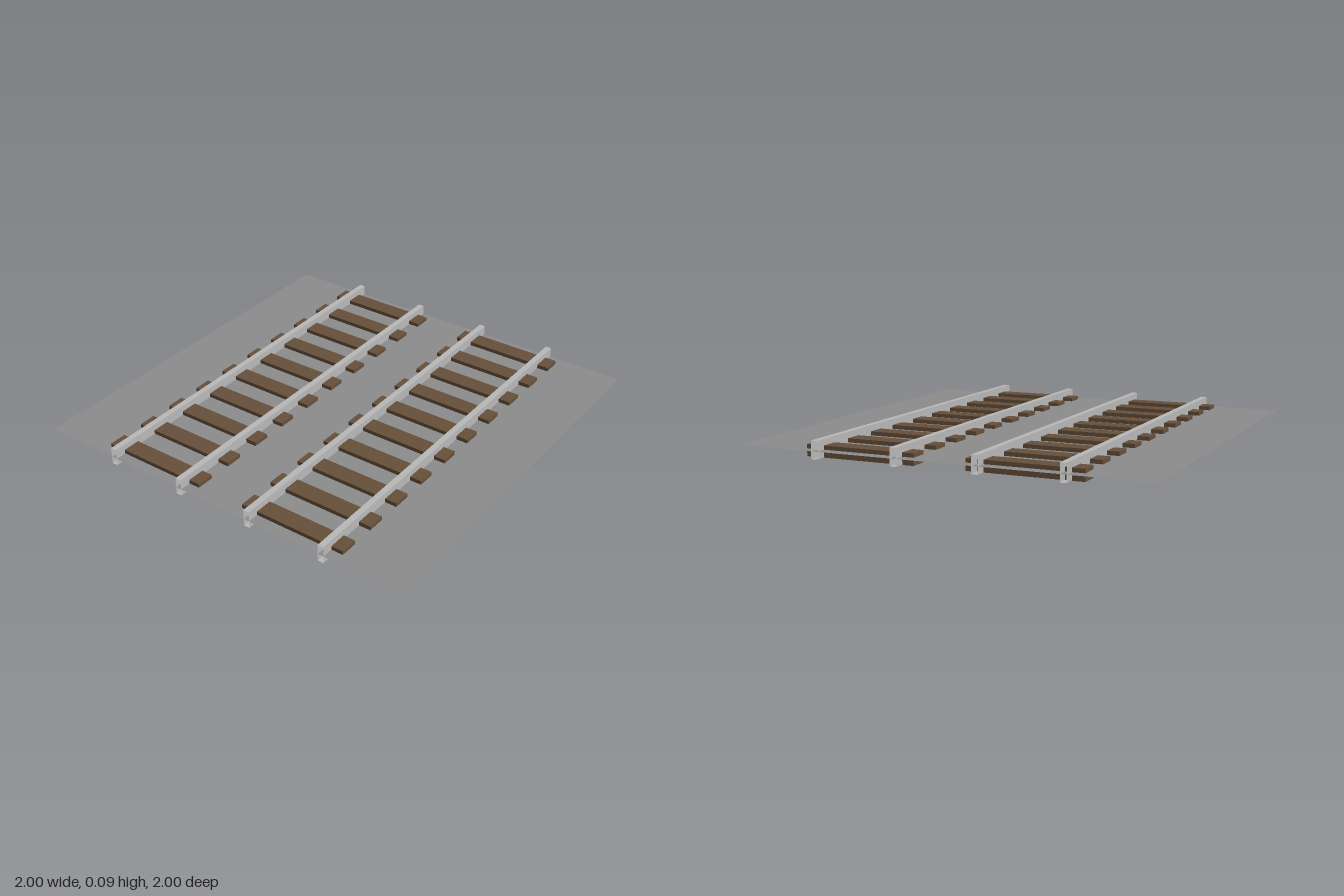
import * as THREE from 'three';

const ballast = new THREE.MeshStandardMaterial({ color: 0x8c8c8c, side: THREE.DoubleSide });
ballast.name = 'ballast grey';
const steel = new THREE.MeshStandardMaterial({ color: 0xb9b9b9, side: THREE.DoubleSide });
steel.name = 'rail steel';
const wood = new THREE.MeshStandardMaterial({ color: 0x66503a });
wood.name = 'sleeper brown';

function add(parent, name, geometry, material, x, y, z) {
  const mesh = new THREE.Mesh(geometry, material);
  mesh.name = name;
  mesh.position.set(x, y, z);
  parent.add(mesh);
}

// Rail running along x with open ends: a box without its two end faces
function railGeometry(length, height, width) {
  const geometry = new THREE.BoxGeometry(length, height, width);
  geometry.setIndex(Array.from(geometry.index.array).slice(12));
  geometry.clearGroups();
  return geometry;
}

export function createModel() {
  const model = new THREE.Group();
  model.name = 'doubleTrack';

  // Flat ground sheet that cuts through the sleepers and rails
  const sheet = new THREE.PlaneGeometry(2, 2).rotateX(-Math.PI / 2);
  add(model, 'groundSheet', sheet, ballast, 0, 0.036, 0);

  const sleeper = new THREE.BoxGeometry(0.088, 0.055, 0.545);
  const rail = railGeometry(2, 0.084, 0.03);

  // Two parallel tracks, each with ten sleepers and two rails
  for (const side of [-1, 1]) {
    const track = new THREE.Group();
    track.name = side > 0 ? 'frontTrack' : 'backTrack';
    for (let i = 0; i < 10; i++) {
      add(track, 'sleeper', sleeper, wood, -0.9 + i * 0.2, 0.0275, side * 0.3975);
    }
    add(track, 'innerRail', rail, steel, 0, 0.043, side * 0.196);
    add(track, 'outerRail', rail, steel, 0, 0.043, side * 0.596);
    model.add(track);
  }
  return model;
}
